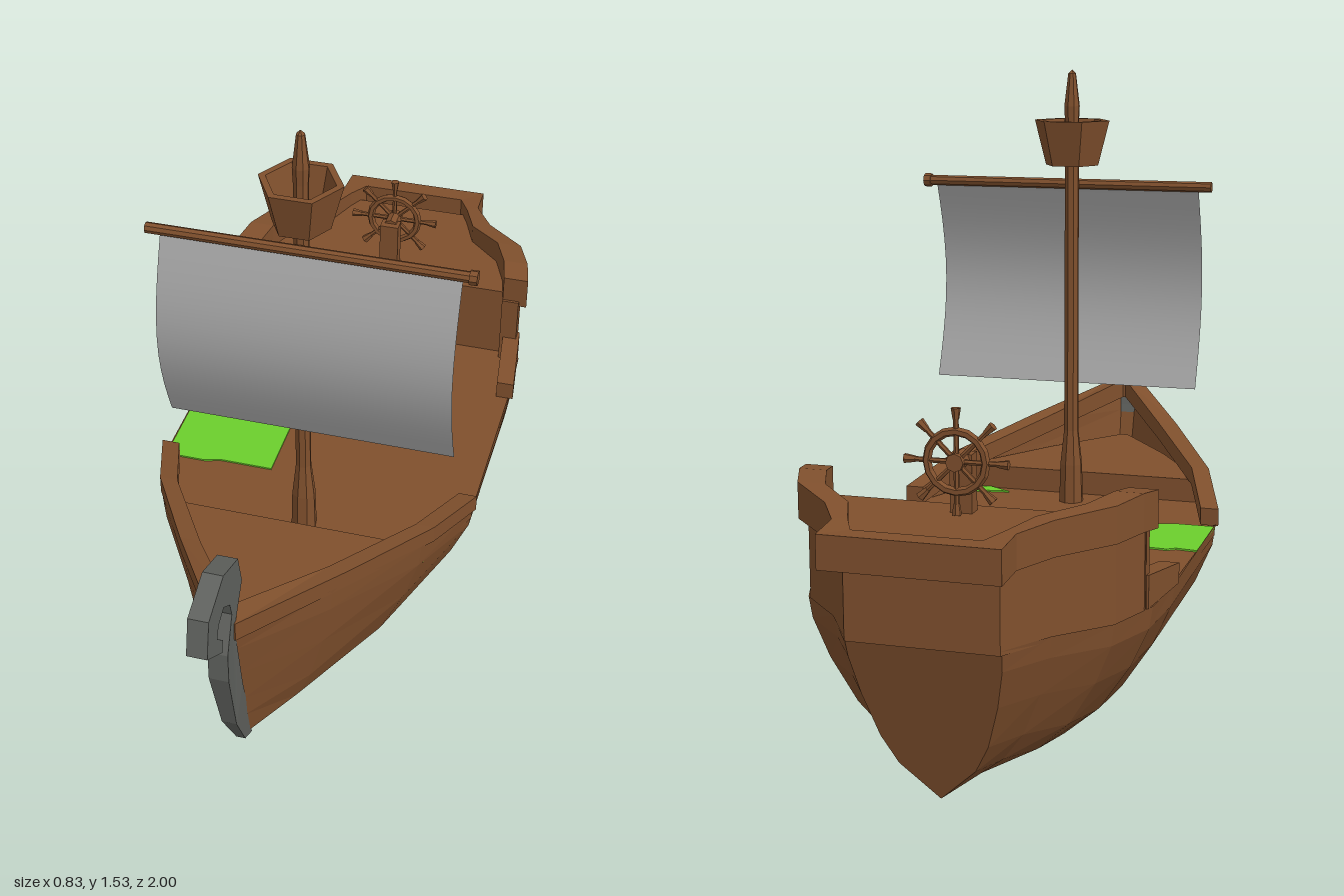
import * as THREE from 'three';

const wood = new THREE.MeshStandardMaterial({ name: 'brown wood', color: 0x80502d, side: THREE.DoubleSide, flatShading: true });
const iron = new THREE.MeshStandardMaterial({ name: 'dark grey', color: 0x60625e, side: THREE.DoubleSide, flatShading: true });
const cloth = new THREE.MeshStandardMaterial({ name: 'grey cloth', color: 0xa6a6a6, side: THREE.DoubleSide });
const green = new THREE.MeshStandardMaterial({ name: 'green', color: 0x6ccf2d, side: THREE.DoubleSide });

// Skin a row of cross-sections; closed rings wrap round, ends are fanned shut
function loft(rings, closed) {
  const pos = [];
  const tri = (...p) => p.forEach((q) => pos.push(...q));
  const n = rings[0].length;
  for (let i = 0; i < rings.length - 1; i++) {
    for (let j = 0; j < (closed ? n : n - 1); j++) {
      const k = (j + 1) % n;
      const [a, b, c, d] = [rings[i][j], rings[i + 1][j], rings[i + 1][k], rings[i][k]];
      tri(a, b, c);
      tri(a, c, d);
    }
  }
  const last = rings[rings.length - 1];
  for (let j = 1; j < n - 1; j++) {
    tri(rings[0][0], rings[0][j], rings[0][j + 1]);
    tri(last[0], last[j + 1], last[j]);
  }
  const g = new THREE.BufferGeometry();
  g.setAttribute('position', new THREE.Float32BufferAttribute(pos, 3));
  g.computeVertexNormals();
  return g;
}

// Upright prism from an [x, z] outline
function prism(outline, y0, y1) {
  const shape = new THREE.Shape(outline.map(([x, z]) => new THREE.Vector2(x, -z)));
  return new THREE.ExtrudeGeometry(shape, { depth: y1 - y0, bevelEnabled: false })
    .rotateX(-Math.PI / 2).translate(0, y0, 0);
}

// Complete an [x, z] half outline with its mirror image
const both = (half) => [...half, ...half.map(([x, z]) => [-x, z]).reverse()];

// Rail section from [outer x, outer z, inner x, inner z, top, bottom]
const railRing = ([xo, zo, xi, zi, t, b]) => [[xi, t, zi], [xo, t, zo], [xo, b, zo], [xi, b, zi]];
const flip = ([xo, zo, xi, zi, t, b]) => [-xo, zo, -xi, zi, t, b];

export function createModel() {
  const ship = new THREE.Group();
  ship.name = 'sailingShip';
  const add = (name, geometry, material, parent = ship) => {
    const m = new THREE.Mesh(geometry, material);
    m.name = name;
    parent.add(m);
    return m;
  };

  // Hull: stations are [z at keel, keel y, top y, half width, z shift at top]
  const stations = [
    [-0.82, 0.04, 0.42, 0.17, -0.105], [-0.75, 0.04, 0.42, 0.24, -0.06],
    [-0.67, 0.035, 0.42, 0.345, -0.03], [-0.56, 0.025, 0.42, 0.395, 0],
    [-0.38, 0.005, 0.42, 0.405, 0], [0.09, 0.003, 0.43, 0.403, 0],
    [0.32, 0.01, 0.49, 0.325, 0], [0.58, 0.085, 0.55, 0.175, 0],
    [0.72, 0.17, 0.6, 0.02, 0.1],
  ];
  const profile = [[1, 1], [0.98, 0.87], [0.875, 0.64], [0.7, 0.38], [0.5, 0.21]];
  add('hull', loft(stations.map(([z, k, t, w, s]) => {
    const at = (u, v) => [u * w, k + v * (t - k), z + s * v];
    return [...profile.map(([u, v]) => at(u, v)), at(0, 0),
      ...profile.map(([u, v]) => at(-u, v)).reverse()];
  }), false), wood);

  // Decks and the raised stern
  const sternHalf = [[0.385, -0.58], [0.345, -0.69], [0.24, -0.805], [0.168, -0.928]];
  const deckHalf = [[0.16, -0.9], [0.235, -0.8], [0.34, -0.69], [0.39, -0.56], [0.4, -0.38],
    [0.4, 0.09], [0.31, 0.32], [0.155, 0.56], [0.01, 0.75]];
  add('mainDeck', prism(both(deckHalf), 0.4, 0.42), wood);
  add('foreDeck', prism(both([[0.318, 0.31], [0.16, 0.57], [0.01, 0.77]]), 0.42, 0.48), wood);
  add('sternCastle', prism(both(sternHalf), 0.41, 0.62), wood);

  // Bow rail, running round the stem
  const bowHalf = [[0.41, 0.085, 0.365, 0.085, 0.468, 0.425], [0.345, 0.28, 0.3, 0.28, 0.52, 0.475],
    [0.205, 0.53, 0.155, 0.53, 0.575, 0.53], [0.025, 0.825, 0.004, 0.765, 0.64, 0.59]];
  add('bowRail', loft([...bowHalf, ...bowHalf.map(flip).reverse()].map(railRing), true), wood);

  // Stern rail, overhanging the raised stern
  const sternRail = [[0.405, -0.56, 0.34, -0.56, 0.68, 0.595], [0.39, -0.63, 0.325, -0.63, 0.688, 0.603],
    [0.355, -0.72, 0.29, -0.72, 0.682, 0.6], [0.25, -0.82, 0.205, -0.8, 0.67, 0.592],
    [0.197, -0.91, 0.17, -0.89, 0.662, 0.586], [0.195, -1, 0.14, -0.95, 0.655, 0.58]];
  add('sternRail', loft([...sternRail.map(flip), ...sternRail.slice().reverse()].map(railRing), true), wood);

  // Short side rails and posts beside the stern step
  const sideRail = [[0.39, -0.58, 0.345, -0.58, 0.495, 0.42], [0.413, -0.38, 0.368, -0.38, 0.467, 0.42]];
  add('leftSideRail', loft(sideRail.map(railRing), true), wood);
  add('rightSideRail', loft(sideRail.map(flip).reverse().map(railRing), true), wood);
  for (const s of [-1, 1]) {
    add('sternPost', new THREE.BoxGeometry(0.045, 0.19, 0.035).translate(s * 0.362, 0.515, -0.57), wood);
  }

  // Stem with a curled hook, narrowing towards the keel
  const hook = [[0.82, 0.627], [0.762, 0.713], [0.783, 0.794], [0.879, 0.832], [0.98, 0.794], [1, 0.705],
    [0.906, 0.633], [0.9, 0.665], [0.933, 0.7], [0.922, 0.729], [0.885, 0.747], [0.847, 0.718],
    [0.836, 0.68], [0.874, 0.59], [0.874, 0.51], [0.82, 0.316], [0.745, 0.185], [0.69, 0.15],
    [0.72, 0.25], [0.78, 0.41], [0.81, 0.56]];
  const stem = new THREE.ExtrudeGeometry(new THREE.Shape(hook.map((p) => new THREE.Vector2(...p))),
    { depth: 0.046, bevelEnabled: false }).translate(0, 0, -0.023).rotateY(-Math.PI / 2);
  const sp = stem.attributes.position;
  for (let i = 0; i < sp.count; i++) {
    sp.setX(i, sp.getX(i) * THREE.MathUtils.clamp(0.4 + (sp.getY(i) - 0.15) * 2.2, 0.4, 1));
  }
  stem.computeVertexNormals();
  add('stem', stem, iron);

  // Mast, lookout and yard
  const lathe = (pts, sides) => new THREE.LatheGeometry(pts.map((p) => new THREE.Vector2(...p)), sides)
    .rotateY(Math.PI / 6);
  const rig = new THREE.Group();
  rig.name = 'rig';
  rig.position.set(0.01, 0, 0.237);
  ship.add(rig);
  add('mast', lathe([[0, 0.41], [0.032, 0.41], [0.029, 0.52], [0.019, 0.61], [0.018, 1.4],
    [0.02, 1.44], [0.01, 1.52], [0, 1.53]], 8), wood, rig);
  add('lookout', lathe([[0, 1.293], [0.068, 1.293], [0.097, 1.405], [0.08, 1.405],
    [0.058, 1.31], [0, 1.31]], 6), wood, rig);
  add('yard', new THREE.CylinderGeometry(0.013, 0.013, 0.755, 8).rotateZ(Math.PI / 2)
    .translate(0.025, 1.243, 0.03), wood, rig);
  add('yardEnd', new THREE.CylinderGeometry(0.017, 0.017, 0.018, 8).rotateZ(Math.PI / 2)
    .translate(0.394, 1.243, 0.03), wood, rig);

  // Sail, bellied forward
  const sail = new THREE.PlaneGeometry(0.69, 0.505, 1, 10);
  const lp = sail.attributes.position;
  for (let i = 0; i < lp.count; i++) {
    const v = lp.getY(i) / 0.505 + 0.5;
    lp.setZ(i, 0.265 + 0.065 * Math.sin(Math.PI * v) - 0.005 * (1 - v));
  }
  sail.translate(0.035, 0.9825, 0).computeVertexNormals();
  add('sail', sail, cloth);

  // Steering wheel on its stand
  const helm = new THREE.Group();
  helm.name = 'steeringWheel';
  helm.position.set(0.008, 0.74, -0.677);
  ship.add(helm);
  add('wheelRim', new THREE.TorusGeometry(0.066, 0.01, 6, 16), wood, helm);
  add('wheelHub', new THREE.CylinderGeometry(0.02, 0.02, 0.06, 8).rotateX(Math.PI / 2).translate(0, 0, 0.015), wood, helm);
  for (let i = 0; i < 8; i++) {
    const a = (i + 0.0) * Math.PI / 4;
    add('spoke', new THREE.CylinderGeometry(0.006, 0.006, 0.1, 6).translate(0, 0.055, 0).rotateZ(a), wood, helm);
    add('handle', new THREE.CylinderGeometry(0.011, 0.007, 0.025, 6).translate(0, 0.104, 0).rotateZ(a), wood, helm);
  }
  add('wheelStand', new THREE.BoxGeometry(0.05, 0.14, 0.035).translate(0, -0.06, 0.045), wood, helm);

  // Green patches lying on the deck
  const patches = [
    [[-0.402, -0.135], [-0.35, -0.128], [-0.33, -0.142], [-0.125, -0.125], [-0.125, 0.07],
      [-0.26, 0.07], [-0.3, 0.082], [-0.402, 0.082]],
    [[-0.195, -0.58], [-0.125, -0.58], [-0.125, -0.5], [-0.15, -0.51], [-0.16, -0.545], [-0.19, -0.555]],
    [[0.19, 0.27], [0.33, 0.25], [0.325, 0.3], [0.25, 0.305]],
  ];
  patches.forEach((p) => add('greenPatch', prism(p, 0.419, 0.424), green));

  return ship;
}
